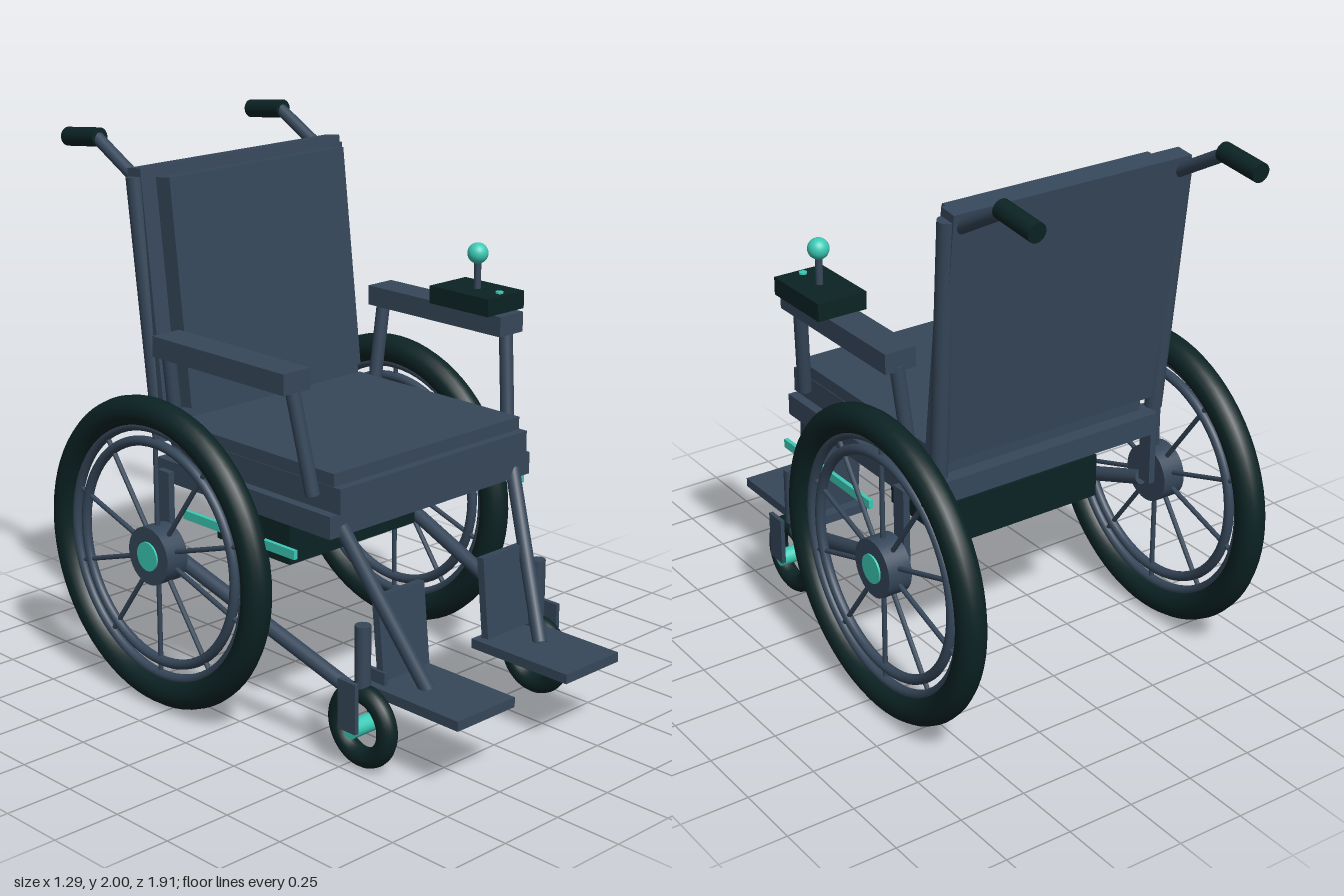
import * as THREE from 'three';

const material = (name, color) => {
  const m = new THREE.MeshStandardMaterial({ color });
  m.name = name;
  return m;
};

export function createModel() {
  const slate = material('slate', 0x36475a);
  const dark = material('dark rubber', 0x0c2324);
  const teal = material('teal accent', 0x3bcab5);
  const root = new THREE.Group();
  root.name = 'poweredWheelchair';

  const add = (parent, name, geo, mat, pos = [0, 0, 0]) => {
    const m = new THREE.Mesh(geo, mat);
    m.name = name;
    m.position.set(...pos);
    parent.add(m);
    return m;
  };
  const box = (parent, name, mat, size, pos, tilt = 0) => {
    const m = add(parent, name, new THREE.BoxGeometry(...size), mat, pos);
    m.rotation.x = tilt;
    return m;
  };
  // Round bar between two points
  const rod = (parent, name, mat, r, from, to, sides = 20) => {
    const a = new THREE.Vector3(...from), b = new THREE.Vector3(...to);
    const d = b.clone().sub(a);
    const m = add(parent, name, new THREE.CylinderGeometry(r, r, d.length(), sides), mat);
    m.position.copy(a).add(b).multiplyScalar(0.5);
    m.quaternion.setFromUnitVectors(new THREE.Vector3(0, 1, 0), d.normalize());
    return m;
  };
  // Ring whose axle runs along x
  const ring = (parent, name, mat, radius, tube) => {
    const g = new THREE.TorusGeometry(radius, tube, 16, 72).rotateY(Math.PI / 2);
    return add(parent, name, g, mat);
  };

  // Seat and backrest
  box(root, 'seatFrame', slate, [0.985, 0.08, 0.88], [0, 0.84, 0.01]);
  box(root, 'seatCushion', slate, [0.915, 0.09, 0.84], [0, 0.925, 0.045]);
  box(root, 'seatCushionTop', slate, [0.91, 0.045, 0.805], [0, 0.9925, 0.028]);
  box(root, 'backPanel', slate, [0.95, 0.92, 0.07], [0, 1.437, -0.487], -0.115);
  box(root, 'backCushion', slate, [0.83, 0.81, 0.073], [0, 1.463, -0.411], -0.115);

  // Battery under the seat
  box(root, 'batteryBox', dark, [0.625, 0.163, 0.38], [0, 0.639, -0.13]);

  for (const s of [1, -1]) {
    const side = new THREE.Group();
    side.name = s > 0 ? 'leftSide' : 'rightSide';
    root.add(side);

    // Back canes and push handles
    rod(side, 'backCane', slate, 0.031, [s * 0.455, 0.93, -0.45], [s * 0.476, 1.865, -0.535]);
    rod(side, 'handleTube', slate, 0.023, [s * 0.4375, 1.83, -0.54], [s * 0.4375, 1.965, -0.785]);
    rod(side, 'handleGrip', dark, 0.034, [s * 0.4375, 1.968, -0.77], [s * 0.4375, 1.948, -0.95]);

    // Armrest with two posts
    box(side, 'armrest', slate, [0.12, 0.073, 0.66], [s * 0.52, 1.32, -0.003]);
    rod(side, 'frontArmPost', slate, 0.025, [s * 0.52, 1.3, 0.3], [s * 0.48, 0.93, 0.355]);
    rod(side, 'rearArmPost', slate, 0.025, [s * 0.525, 1.3, -0.315], [s * 0.48, 0.93, -0.325]);

    // Lower frame
    rod(side, 'lowerFrameTube', slate, 0.027, [s * 0.455, 0.28, 0.5], [s * 0.53, 0.56, -0.31]);
    box(side, 'axleUpright', slate, [0.025, 0.3, 0.06], [s * 0.53, 0.71, -0.34]);
    box(side, 'accentStrip', teal, [0.015, 0.032, 0.56], [s * 0.562, 0.742, 0.08]);

    // Leg rest
    rod(side, 'legTube', slate, 0.026, [s * 0.425, 0.83, 0.43], [s * 0.285, 0.285, 0.7]);
    box(side, 'footPlate', slate, [0.275, 0.035, 0.435], [s * 0.268, 0.272, 0.735]);
    box(side, 'calfPlate', slate, [0.22, 0.295, 0.03], [s * 0.258, 0.445, 0.55], -0.1);

    // Drive wheel
    const wheel = new THREE.Group();
    wheel.name = 'driveWheel';
    wheel.position.set(s * 0.592, 0.573, -0.317);
    side.add(wheel);
    ring(wheel, 'tire', dark, 0.515, 0.053);
    ring(wheel, 'rim', slate, 0.459, 0.018);
    ring(wheel, 'innerRim', slate, 0.405, 0.018);
    rod(wheel, 'hub', slate, 0.106, [-0.045, 0, 0], [0.045, 0, 0], 32);
    rod(wheel, 'hubCap', teal, 0.053, [s * 0.02, 0, 0], [s * 0.052, 0, 0], 28);
    for (let i = 0; i < 10; i++) {
      const a = Math.PI / 2 + (i * Math.PI) / 5, c = Math.cos(a), y = Math.sin(a);
      rod(wheel, 'spoke', slate, 0.009, [0, y * 0.08, c * 0.08], [0, y * 0.46, c * 0.46], 8);
    }

    // Front caster
    const caster = new THREE.Group();
    caster.name = 'frontCaster';
    caster.position.set(s * 0.4375, 0.155, 0.55);
    side.add(caster);
    ring(caster, 'casterTire', dark, 0.115, 0.036);
    rod(caster, 'casterAxle', teal, 0.032, [-0.063, 0, 0], [0.063, 0, 0]);
    rod(caster, 'casterStem', slate, 0.028, [0, 0.14, 0], [0, 0.36, 0]);
    for (const f of [1, -1])
      box(caster, 'forkPlate', slate, [0.016, 0.18, 0.083], [f * 0.069, 0.09, 0]);
  }

  // Joystick controller on the left armrest
  const control = new THREE.Group();
  control.name = 'joystickController';
  root.add(control);
  box(control, 'controlBox', dark, [0.19, 0.065, 0.285], [0.525, 1.3885, 0.152]);
  rod(control, 'stick', slate, 0.013, [0.525, 1.41, 0.155], [0.525, 1.54, 0.155]);
  add(control, 'stickBall', new THREE.SphereGeometry(0.038, 28, 20), teal, [0.525, 1.55, 0.155]);
  rod(control, 'button', teal, 0.014, [0.525, 1.41, 0.262], [0.525, 1.428, 0.262]);

  return root;
}
